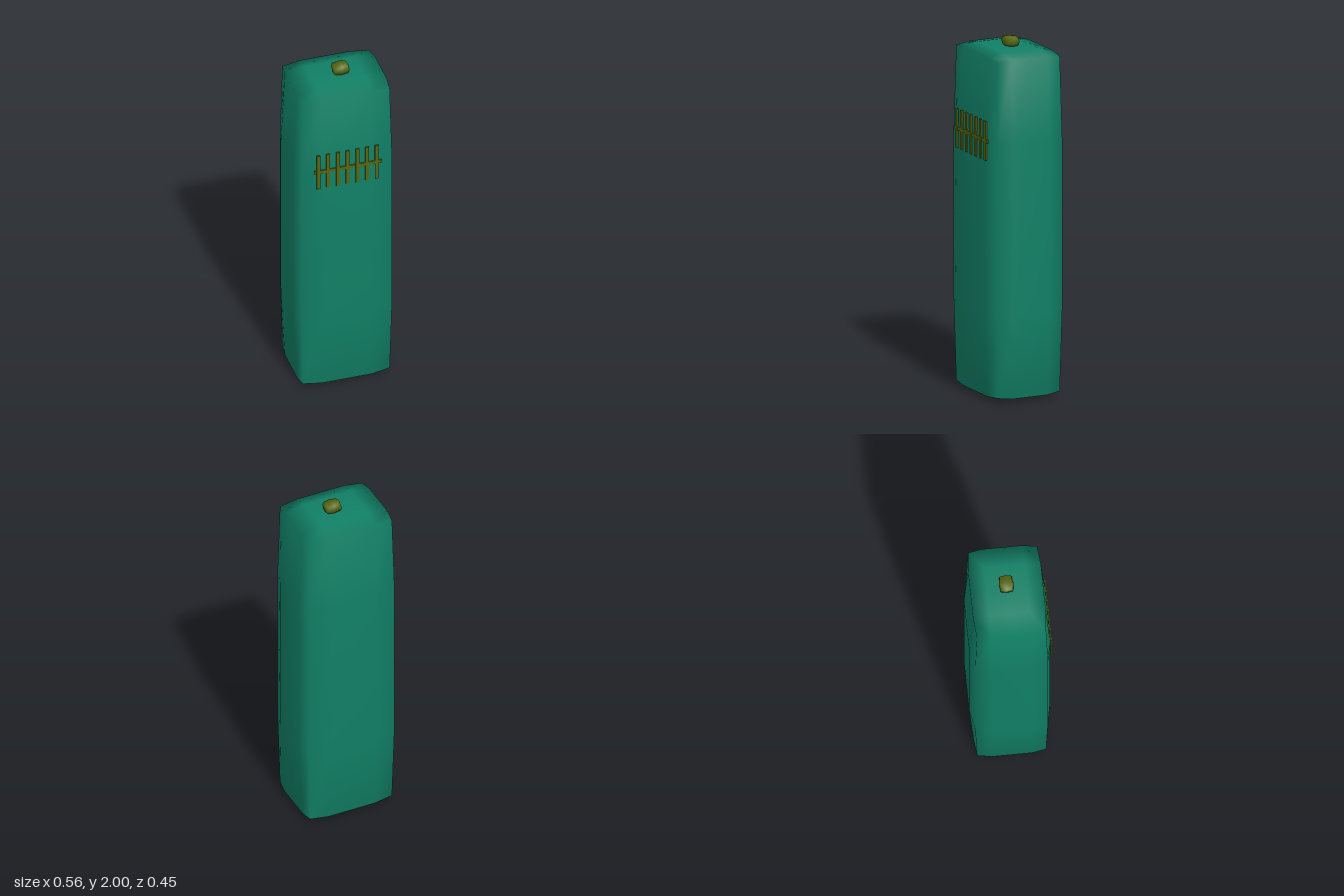
import * as THREE from 'three';
import { mergeVertices } from 'three/addons/utils/BufferGeometryUtils.js';

// Pillow-like box: faces bulge by b, the rims of each face step inward; smooth normals.
function softBox(hx, hy, hz, segs, b, b2) {
  let geo = new THREE.BoxGeometry(2, 2, 2, segs, segs, segs);
  geo.deleteAttribute('normal');
  geo.deleteAttribute('uv');
  geo = mergeVertices(geo);
  const p = geo.attributes.position;
  const edge = (v) => Math.abs(v) > 0.99;
  for (let i = 0; i < p.count; i++) {
    const s = [p.getX(i), p.getY(i), p.getZ(i)];
    const rims = s.filter(edge).length;
    const drop = rims === 3 ? b + b2 : rims === 2 ? b : 0;
    const out = [hx, hy, hz].map((h, k) => edge(s[k])
      ? Math.sign(s[k]) * (h - drop)
      : s[k] * h);
    p.setXYZ(i, ...out);
  }
  geo.computeVertexNormals();
  return geo;
}

export function createModel() {
  const model = new THREE.Group();
  const green = new THREE.MeshStandardMaterial({ color: 0x118066 });
  const olive = new THREE.MeshStandardMaterial({ color: 0x556611 });

  function add(name, geo, material, x, y, z, parent = model) {
    const mesh = new THREE.Mesh(geo, material);
    mesh.name = name;
    mesh.position.set(x, y, z);
    parent.add(mesh);
    return mesh;
  }

  // Tall body
  add('body', softBox(0.28, 0.97, 0.222, 4, 0.023, 0.01), green, 0, 0.973, -0.003);

  // Small knob on the top
  add('topKnob', softBox(0.048, 0.03, 0.04, 2, 0.006, 0.004), olive, 0.025, 1.97, -0.005);

  // Grille: one crossbar and seven upright bars
  const grille = new THREE.Group();
  grille.name = 'frontGrille';
  model.add(grille);
  add('crossbar', new THREE.BoxGeometry(0.385, 0.02, 0.008), olive, -0.003, 1.465, 0.22, grille);
  const bar = new THREE.BoxGeometry(0.02, 0.22, 0.009);
  for (let i = 0; i < 7; i++) {
    add('uprightBar', bar, olive, -0.171 + i * 0.0555, 1.465, 0.2205, grille);
  }
  return model;
}
